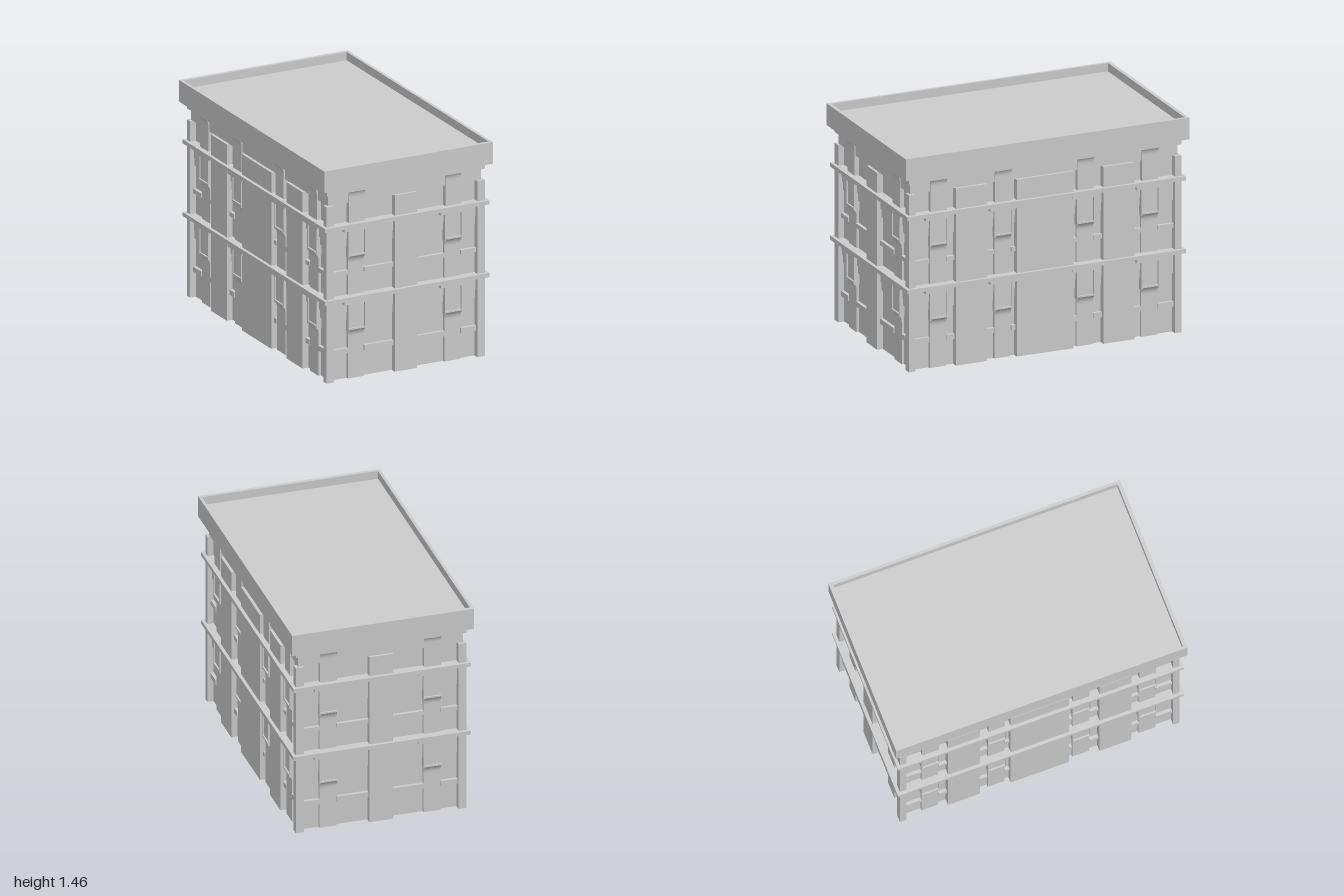
import * as THREE from 'three';

const grey = new THREE.MeshStandardMaterial({ color: 0xcccccc, flatShading: true, side: THREE.DoubleSide });
const HX = 0.575, HZ = 0.96; // outer faces of the pilasters

function add(parent, name, geometry) {
  const mesh = new THREE.Mesh(geometry, grey);
  mesh.name = name;
  parent.add(mesh);
  return mesh;
}

// box given by its limits: x along the wall, y up, z outwards
function slab(parent, name, x0, x1, y0, y1, z0, z1) {
  const g = new THREE.BoxGeometry(x1 - x0, y1 - y0, z1 - z0);
  g.translate((x0 + x1) / 2, (y0 + y1) / 2, (z0 + z1) / 2);
  return add(parent, name, g);
}

// concave bracket that flares outwards towards its top
function bracket(parent, name, cx, width, y0, y1, zBack, z0, z1) {
  const s = new THREE.Shape();
  s.moveTo(zBack, y0);
  s.lineTo(z0, y0);
  s.quadraticCurveTo(z0, y0 + (y1 - y0) * 0.6, z1, y1);
  s.lineTo(zBack, y1);
  s.closePath();
  const g = new THREE.ExtrudeGeometry(s, { depth: width, bevelEnabled: false, curveSegments: 8 });
  g.rotateY(-Math.PI / 2);
  g.translate(cx + width / 2, 0, 0);
  add(parent, name, g);
}

// one window column with piers, brackets, window boxes and lintels
function windowColumn(parent, c, D) {
  const w = 0.0575, back = D - 0.05;
  for (const [base, sill, top] of [[0, 0.285, 0.54], [0.57, 0.785, 1.035]]) {
    slab(parent, 'pier', c - w, c + w, base, sill, back, D - 0.025);
    bracket(parent, 'sillBracket', c, 2 * w, sill, sill + 0.05, back, D - 0.025, D - 0.004);
    slab(parent, 'windowPanel', c - w, c + w, sill + 0.05, top - 0.03, back, D - 0.015);
    slab(parent, 'windowSill', c - w, c + w, sill + 0.05, sill + 0.06, back, D - 0.004);
    for (const s of [-1, 1]) {
      const x = c + s * (w + 0.002);
      slab(parent, 'windowJamb', x - 0.004, x + 0.004, sill + 0.04, top - 0.025, back, D - 0.006);
    }
    slab(parent, 'windowHead', c - w, c + w, top - 0.033, top - 0.025, back, D - 0.008);
    slab(parent, 'lintel', c - 0.1, c + 0.1, top - 0.025, top, back, D + 0.008);
  }
  slab(parent, 'upperPier', c - w, c + w, 1.06, 1.235, back, D - 0.012);
  bracket(parent, 'eavesBracket', c, 2 * w, 1.235, 1.275, back, D - 0.012, D);
}

// one facade, facing +z at distance D, with half width W
function facade(name, W, D, bays, pilasters) {
  const g = new THREE.Group();
  g.name = name;
  const back = D - 0.05;
  for (const [x0, x1, c] of bays) {
    slab(g, 'bayWall', x0, x1, 0, 1.2, back, D - 0.042);
    // raised horizontal bands, interrupted by the window column
    for (const [y0, y1, out] of [[0.175, 0.21, 0.02], [0.4, 0.455, 0.032], [0.455, 0.54, 0.026],
      [0.71, 0.74, 0.02], [0.895, 0.95, 0.032], [0.95, 1.035, 0.026]]) {
      slab(g, 'wallBand', x0, c - 0.06, y0, y1, back, D - out);
      slab(g, 'wallBand', c + 0.06, x1, y0, y1, back, D - out);
    }
    windowColumn(g, c, D);
  }
  for (const [x0, x1] of pilasters) slab(g, 'pilaster', x0, x1, 0, 1.2, back, D);
  // string courses
  for (const y of [0.54, 1.035]) slab(g, 'stringCourse', -W - 0.022, W + 0.022, y, y + 0.027, back, D + 0.022);
  return g;
}

export function createModel() {
  const model = new THREE.Group();
  model.name = 'building';

  // short and long facades, each used twice
  const shortBays = [[-0.52, -0.08, -0.35], [0.08, 0.52, 0.35]];
  const longBays = [[-0.915, -0.63, -0.745], [-0.41, -0.2, -0.29], [0.2, 0.41, 0.29], [0.63, 0.915, 0.745]];
  for (const [name, long, turn] of [['frontFacade', false, 0], ['backFacade', false, Math.PI],
    ['leftFacade', true, Math.PI / 2], ['rightFacade', true, -Math.PI / 2]]) {
    const f = long
      ? facade(name, HZ, HX, longBays, [[-0.63, -0.41], [-0.2, 0.2], [0.41, 0.63]])
      : facade(name, HX, HZ, shortBays, [[-0.08, 0.08]]);
    f.rotation.y = turn;
    model.add(f);
  }

  // corner pilasters
  for (const sx of [-1, 1]) for (const sz of [-1, 1]) {
    add(model, 'cornerPilaster', new THREE.BoxGeometry(0.055, 1.2, 0.045))
      .position.set(sx * (HX - 0.0275), 0.6, sz * (HZ - 0.0225));
  }

  // frieze, moulding and roof
  slab(model, 'frieze', -0.555, 0.555, 1.2, 1.275, -0.943, 0.943);
  slab(model, 'eavesMoulding', -0.575, 0.575, 1.275, 1.315, -0.962, 0.962);
  slab(model, 'roofSlab', -0.612, 0.612, 1.315, 1.405, -1, 1);
  for (const s of [-1, 1]) {
    const side = slab(model, 'parapetSide', -0.01, 0.01, 1.405, 1.462, -1, 1);
    side.position.x = s * 0.602;
    const end = slab(model, 'parapetEnd', -0.592, 0.592, 1.405, 1.462, -0.0125, 0.0125);
    end.position.z = s * 0.9875;
  }
  return model;
}
